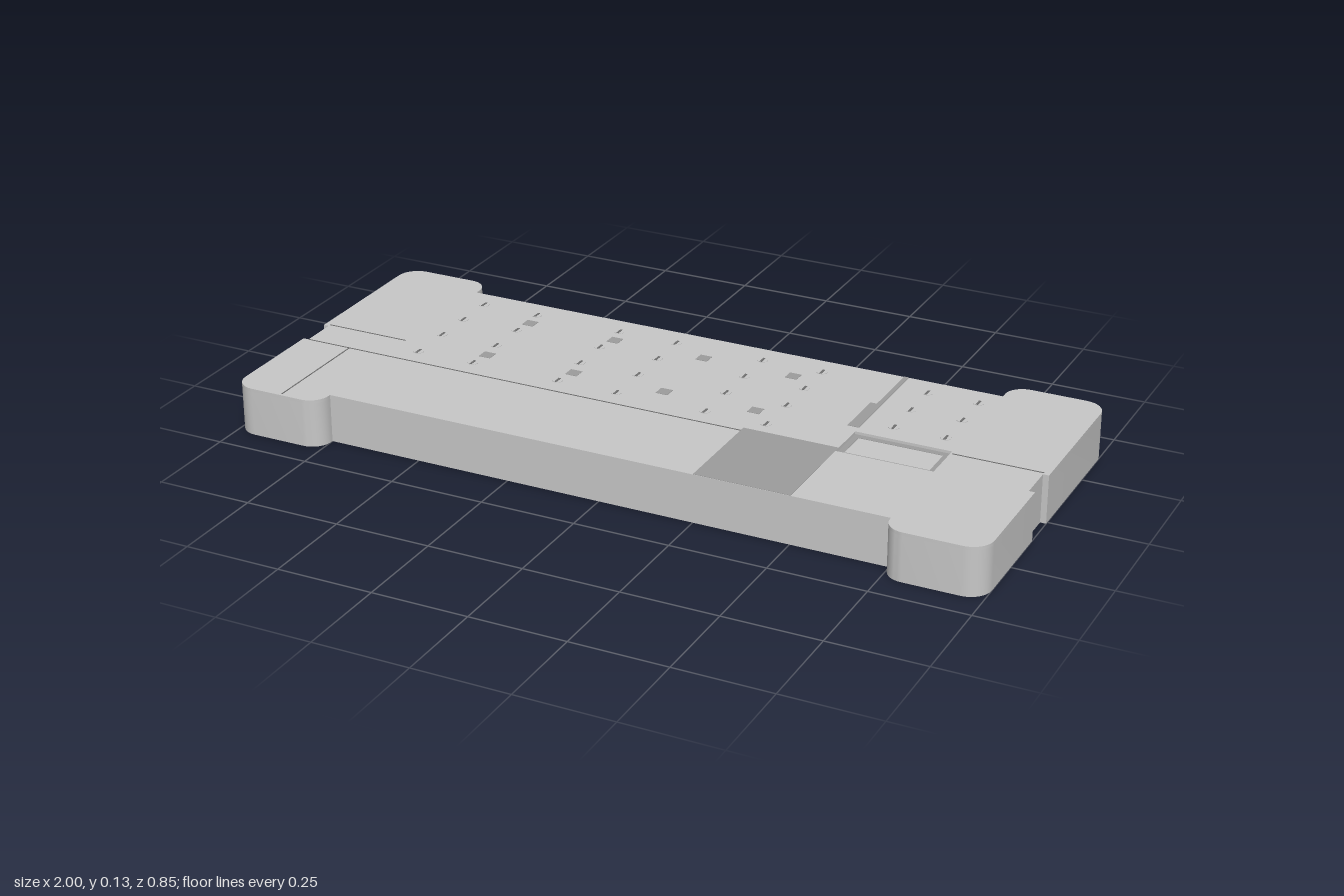
import * as THREE from 'three';
import { toCreasedNormals } from 'three/addons/utils/BufferGeometryUtils.js';

const H = 0.127;      // overall height
const POCKET = 0.008; // depth of the deck pocket

// Closed shape from [x, z, radius] corners
function roundedShape(corners) {
  const shape = new THREE.Shape();
  const n = corners.length;
  corners.forEach(([x, z, r], i) => {
    const toward = ([px, pz]) => {
      const d = Math.hypot(px - x, pz - z);
      return [x + (px - x) / d * r, z + (pz - z) / d * r];
    };
    const a = toward(corners[(i + n - 1) % n]);
    const b = toward(corners[(i + 1) % n]);
    if (i === 0) shape.moveTo(...a); else shape.lineTo(...a);
    if (r > 0) {
      // circular arc through the right-angled corner
      const k = 0.552;
      shape.bezierCurveTo(a[0] + (x - a[0]) * k, a[1] + (z - a[1]) * k,
        b[0] + (x - b[0]) * k, b[1] + (z - b[1]) * k, ...b);
    }
  });
  shape.closePath();
  return shape;
}

// Plan outline: four corner blocks, recessed long sides, notched ends
function outline() {
  const right = [
    [0.75, -0.36, 0], [0.75, -0.427, 0.05], [1, -0.427, 0.055],
    [1, 0.008, 0], [0.985, 0.008, 0], [0.985, 0.105, 0], [1, 0.105, 0],
    [1, 0.427, 0.055], [0.75, 0.427, 0.05], [0.75, 0.372, 0],
  ];
  const left = right.map(([x, z, r]) => [-x, z, r]).reverse();
  return roundedShape([...right, ...left]);
}

export function createModel() {
  const model = new THREE.Group();
  const grey = new THREE.MeshStandardMaterial({ name: 'light grey', color: 0xc8c8c8 });
  const dark = new THREE.MeshStandardMaterial({ name: 'mid grey', color: 0x9c9c9c });
  const line = new THREE.MeshStandardMaterial({ name: 'seam grey', color: 0x707070 });

  const add = (name, geometry, material) => {
    const mesh = new THREE.Mesh(geometry, material);
    mesh.name = name;
    model.add(mesh);
    return mesh;
  };
  const layer = (name, shape, y0, y1) => {
    const g = new THREE.ExtrudeGeometry(shape, { depth: y1 - y0, bevelEnabled: false, curveSegments: 8 });
    g.rotateX(Math.PI / 2).translate(0, y1, 0);
    return add(name, toCreasedNormals(g, 0.6), grey);
  };
  // Thin plate lying on the deck
  const plate = (name, x0, x1, z0, z1, material, top = H, t = 0.001) => {
    const g = new THREE.BoxGeometry(x1 - x0, t, z1 - z0);
    add(name, g, material).position.set((x0 + x1) / 2, top + t / 2, (z0 + z1) / 2);
  };

  // Slab with a shallow rectangular pocket in the deck
  layer('base', outline(), 0, H - POCKET);
  const deck = outline();
  deck.holes.push(new THREE.Path([[0.5, -0.012], [0.5, 0.108], [0.75, 0.108], [0.75, -0.012]]
    .map(([x, z]) => new THREE.Vector2(x, z))));
  layer('deck', deck, H - POCKET, H);

  // Dark lining around the pocket floor
  const floor = H - POCKET;
  plate('pocketLining', 0.5, 0.75, -0.012, 0.004, dark, floor);
  plate('pocketLining', 0.5, 0.75, 0.092, 0.108, dark, floor);
  plate('pocketLining', 0.5, 0.516, 0.004, 0.092, dark, floor);
  plate('pocketLining', 0.734, 0.75, 0.004, 0.092, dark, floor);

  // Dark panel and the strip beside the rear bay
  plate('darkPanel', 0.25, 0.5, 0.09, 0.371, dark);
  plate('bayStrip', 0.47, 0.5, -0.18, -0.035, dark);
  plate('bayStrip', 0.487, 0.5, -0.36, -0.18, dark);

  // Panel seams
  plate('frontSeam', -0.985, 0.25, 0.104, 0.107, line);
  plate('sideSeam', -0.862, -0.859, 0.107, 0.42, line);
  plate('blockSeam', -0.985, -0.755, -0.001, 0.002, line);
  plate('blockSeam', 0.755, 0.985, -0.001, 0.002, line);

  // Small square marks
  for (const x of [-0.52, -0.27, -0.015, 0.235]) {
    for (const z of [-0.24, -0.013]) plate('squareMark', x - 0.016, x + 0.016, z - 0.016, z + 0.016, dark);
  }

  // Rows of low studs, each with a short tick
  const stud = new THREE.CylinderGeometry(0.014, 0.014, 0.002, 12);
  for (const x of [-0.69, -0.53, -0.285, -0.12, 0.125, 0.29, 0.575, 0.71]) {
    for (const z of [-0.295, -0.185, -0.075, 0.045]) {
      if (x > 0.5 && z > 0) continue;
      add('stud', stud, grey).position.set(x, H, z);
      plate('studTick', x - 0.003, x + 0.003, z - 0.012, z + 0.012, line, H + 0.001);
    }
  }
  return model;
}
